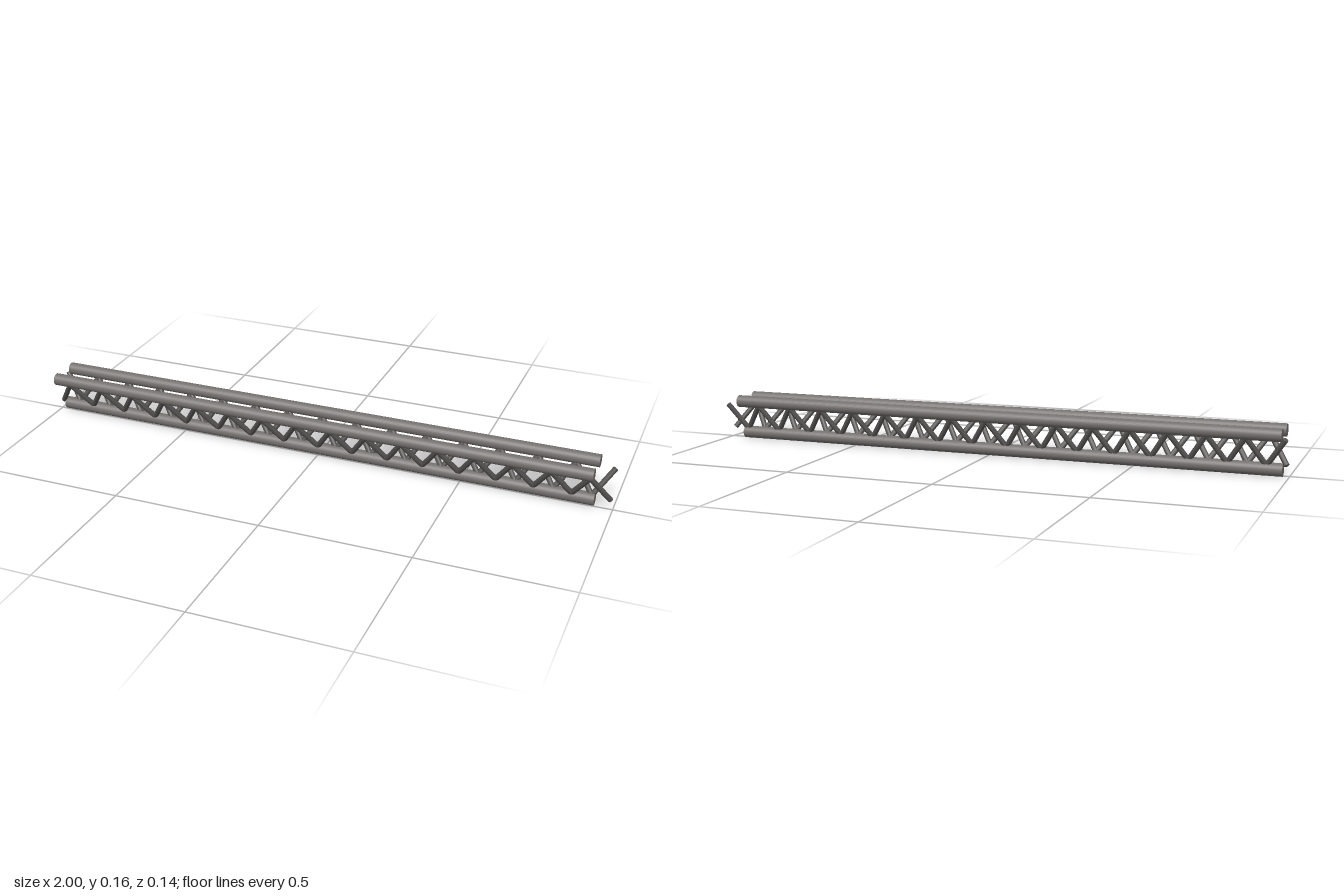
import * as THREE from 'three';

const chordMat = new THREE.MeshStandardMaterial({ color: 0x74706e });
const laceMat = new THREE.MeshStandardMaterial({ color: 0x565453 });

// Straight round bar between two points
function bar(name, a, b, radius, sides, material) {
  const dir = b.clone().sub(a);
  const mesh = new THREE.Mesh(new THREE.CylinderGeometry(radius, radius, dir.length(), sides), material);
  mesh.position.copy(a).add(b).multiplyScalar(0.5);
  mesh.quaternion.setFromUnitVectors(new THREE.Vector3(0, 1, 0), dir.normalize());
  mesh.name = name;
  return mesh;
}

// Zigzag lacing running along x between an upper and a lower line
function lacing(name, upper, lower, startsUp) {
  const group = new THREE.Group();
  group.name = name;
  const count = 32, x0 = -0.99, step = 1.98 / count;
  const node = (i) => {
    const [y, z] = (i % 2 === 0) === startsUp ? upper : lower;
    return new THREE.Vector3(x0 + i * step, y, z);
  };
  for (let i = 0; i < count; i++) {
    group.add(bar('laceBar', node(i), node(i + 1), 0.009, 12, laceMat));
  }
  return group;
}

export function createModel() {
  const model = new THREE.Group();
  model.name = 'triangularTruss';

  // Three long tubes: name, y, z
  const chords = [
    ['frontTopChord', 0.138, 0.051],
    ['backTopChord', 0.138, -0.051],
    ['bottomChord', 0.021, -0.009],
  ];
  for (const [name, y, z] of chords) {
    model.add(bar(name, new THREE.Vector3(-0.98, y, z), new THREE.Vector3(0.94, y, z), 0.021, 32, chordMat));
  }

  // Opposed zigzags on the two sloping sides
  model.add(lacing('frontLacing', [0.124, 0.05], [0.034, 0.0], false));
  model.add(lacing('backLacing', [0.124, -0.045], [0.032, -0.01], true));
  return model;
}
